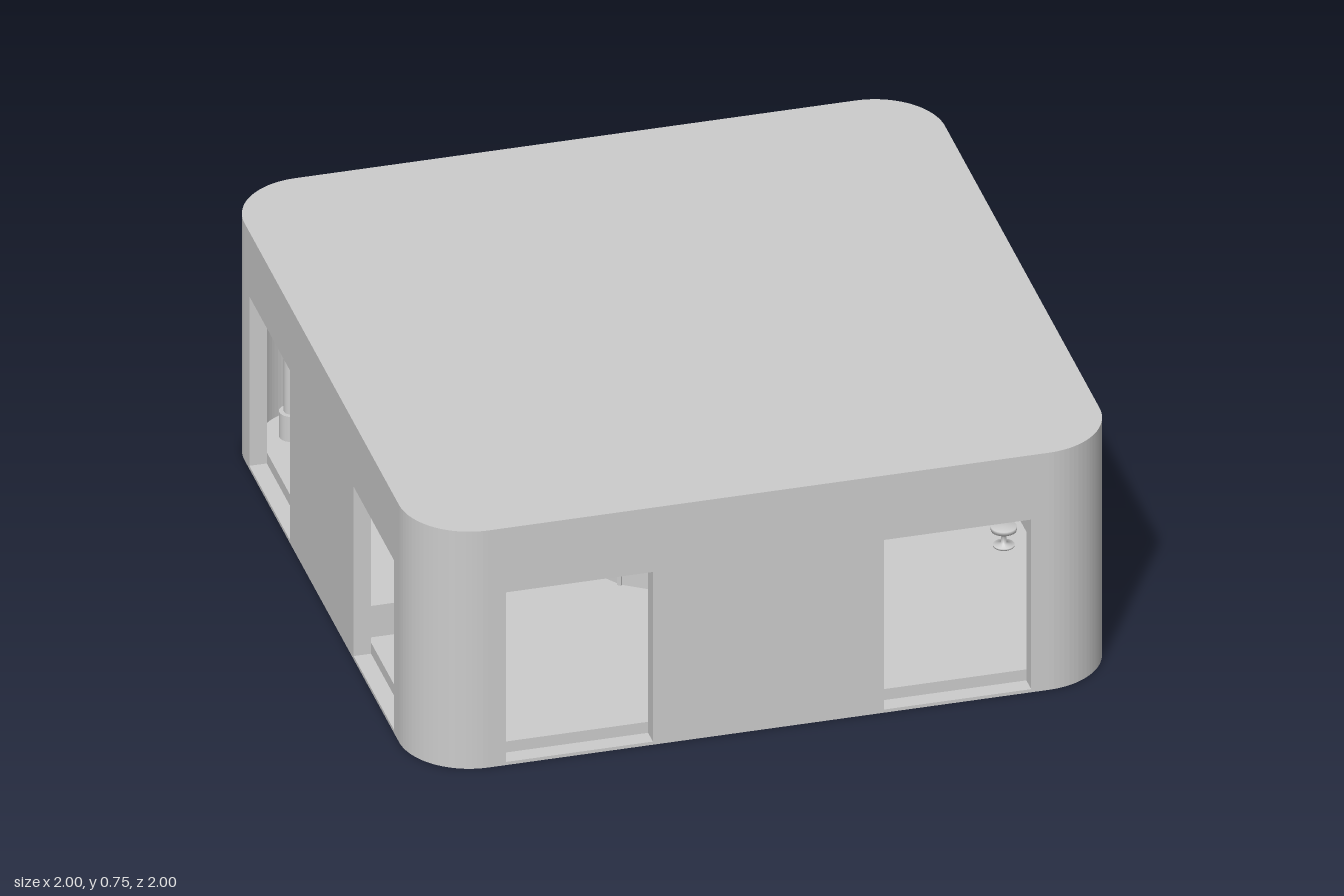
import * as THREE from 'three';

const grey = new THREE.MeshStandardMaterial({ color: 0xcccccc });
grey.name = 'plain grey';

function add(parent, name, geometry, x = 0, y = 0, z = 0) {
  const mesh = new THREE.Mesh(geometry, grey);
  mesh.name = name;
  mesh.position.set(x, y, z);
  parent.add(mesh);
  return mesh;
}

const box = (w, h, d) => new THREE.BoxGeometry(w, h, d);
const cyl = (top, bottom, h, sides = 24) => new THREE.CylinderGeometry(top, bottom, h, sides);
const lathe = (points, sides = 32) =>
  new THREE.LatheGeometry(points.map(([x, y]) => new THREE.Vector2(x, y)), sides);

// Extrudes a plan shape upward from y = 0
function upright(shape, height, curveSegments = 10) {
  return new THREE.ExtrudeGeometry(shape, { depth: height, bevelEnabled: false, curveSegments })
    .rotateX(-Math.PI / 2);
}

function roundedSquare(half, radius) {
  const s = new THREE.Shape();
  const c = half - radius;
  for (let i = 0; i < 4; i++) {
    const a = i * Math.PI / 2;
    const sx = i === 0 || i === 3 ? c : -c;
    const sy = i < 2 ? c : -c;
    s.absarc(sx, sy, radius, a, a + Math.PI / 2, false);
  }
  s.closePath();
  return s;
}

// Round rod between two points
function rod(parent, name, a, b, radius) {
  const path = new THREE.LineCurve3(new THREE.Vector3(...a), new THREE.Vector3(...b));
  return add(parent, name, new THREE.TubeGeometry(path, 1, radius, 10));
}

function buildShell(model) {
  add(model, 'basePlate', upright(roundedSquare(1, 0.2), 0.01));
  add(model, 'floor', upright(roundedSquare(0.95, 0.15), 0.035), 0, 0.01, 0);
  add(model, 'roof', upright(roundedSquare(1, 0.2), 0.055), 0, 0.7, 0);

  // Straight wall with two doorways
  const outline = [[-0.8, 0.01], [-0.75, 0.01], [-0.75, 0.55], [-0.33, 0.55], [-0.33, 0.01],
    [0.33, 0.01], [0.33, 0.55], [0.75, 0.55], [0.75, 0.01], [0.8, 0.01], [0.8, 0.7], [-0.8, 0.7]];
  const panel = new THREE.ExtrudeGeometry(
    new THREE.Shape(outline.map(([x, y]) => new THREE.Vector2(x, y))),
    { depth: 0.05, bevelEnabled: false });

  // Quarter-round corner wall
  const quarter = new THREE.Shape();
  quarter.absarc(0, 0, 0.2, 0, Math.PI / 2, false);
  quarter.absarc(0, 0, 0.15, Math.PI / 2, 0, true);
  quarter.closePath();
  const corner = upright(quarter, 0.69);

  for (let i = 0; i < 4; i++) {
    const side = new THREE.Group();
    side.name = 'wallSide';
    side.rotation.y = i * Math.PI / 2;
    add(side, 'wall', panel, 0, 0, 0.95);
    add(side, 'cornerWall', corner, 0.8, 0.01, -0.8);
    // Ceiling light and corner post with its overhead pipe
    add(side, 'ceilingLight', box(0.4, 0.02, 0.03), 0, 0.69, 0.62);
    add(side, 'postBase', cyl(0.035, 0.035, 0.08), 0.86, 0.085, 0.82);
    add(side, 'cornerPost', cyl(0.022, 0.022, 0.6), 0.86, 0.4, 0.82);
    add(side, 'postCap', cyl(0.03, 0.03, 0.05), 0.86, 0.6, 0.82);
    rod(side, 'overheadPipe', [0.86, 0.6, 0.82], [0.3, 0.6, 0.28], 0.01);
    model.add(side);
  }
}

function buildCentre(model) {
  // Panelled drum in the middle with a ring above
  add(model, 'centralDrum', new THREE.CylinderGeometry(0.29, 0.29, 0.5, 16).toNonIndexed(), 0, 0.295, 0)
    .geometry.computeVertexNormals();
  for (let i = 0; i < 16; i++) {
    const a = i * Math.PI / 8;
    add(model, 'drumRib', box(0.012, 0.5, 0.012), Math.sin(a) * 0.29, 0.295, Math.cos(a) * 0.29)
      .rotation.y = a;
  }
  add(model, 'drumHead', cyl(0.3, 0.29, 0.155, 32), 0, 0.6225, 0);
  add(model, 'ceilingRing', new THREE.TorusGeometry(0.42, 0.015, 8, 48).rotateX(Math.PI / 2), 0, 0.58, 0);
}

function buildTable(model) {
  const table = new THREE.Group();
  table.name = 'roundTable';
  table.position.set(0.615, 0.045, 0.02);
  add(table, 'pedestal', lathe([[0, 0], [0.048, 0], [0.045, 0.006], [0.018, 0.015], [0.012, 0.06],
    [0.012, 0.1], [0.025, 0.112], [0.068, 0.115], [0.068, 0.123], [0, 0.123]]));
  rod(table, 'lampStem', [0, 0.12, 0], [0, 0.17, 0], 0.003);
  rod(table, 'lampArm', [0, 0.17, 0], [-0.06, 0.215, 0], 0.002);
  add(table, 'lampHead', new THREE.SphereGeometry(0.008, 12, 8), -0.063, 0.215, 0);
  model.add(table);
}

function buildStool(model, x, z) {
  add(model, 'stool', lathe([[0, 0], [0.03, 0], [0.03, 0.005], [0.008, 0.01], [0.008, 0.045],
    [0.036, 0.05], [0.036, 0.062], [0, 0.062]], 24), x, 0.045, z);
}

function buildConsole(model) {
  // Sloping console against the front wall
  const profile = new THREE.Shape([[0.655, 0.045], [0.84, 0.045], [0.84, 0.25], [0.75, 0.21], [0.655, 0.145]]
    .map(([z, y]) => new THREE.Vector2(-z, y)).reverse());
  const geometry = new THREE.ExtrudeGeometry(profile, { depth: 0.14, bevelEnabled: false })
    .rotateY(Math.PI / 2);
  add(model, 'console', geometry, 0.14, 0, 0);
  rod(model, 'consoleArm', [0.21, 0.275, 0.82], [0.21, 0.205, 0.67], 0.008);
  add(model, 'consoleArmTip', new THREE.SphereGeometry(0.012, 12, 8), 0.21, 0.203, 0.672);
}

function buildDesk(model) {
  // Desk with screen, near the rear wall
  add(model, 'deskBody', box(0.16, 0.1, 0.085), -0.2, 0.095, -0.61);
  add(model, 'deskTop', box(0.2, 0.008, 0.12), -0.2, 0.147, -0.63);
  add(model, 'deskScreen', box(0.07, 0.05, 0.012), -0.2, 0.173, -0.62).rotation.x = 0.2;
  buildStool(model, -0.2, -0.765);
}

export function createModel() {
  const model = new THREE.Group();
  model.name = 'pavilion';
  buildShell(model);
  buildCentre(model);
  buildTable(model);
  buildConsole(model);
  buildDesk(model);
  for (const z of [-0.28, 0.28]) {
    buildStool(model, 0.87, z);
    add(model, 'wallCabinet', box(0.08, 0.1, 0.1), -0.91, 0.095, z * 0.9);
  }
  return model;
}
